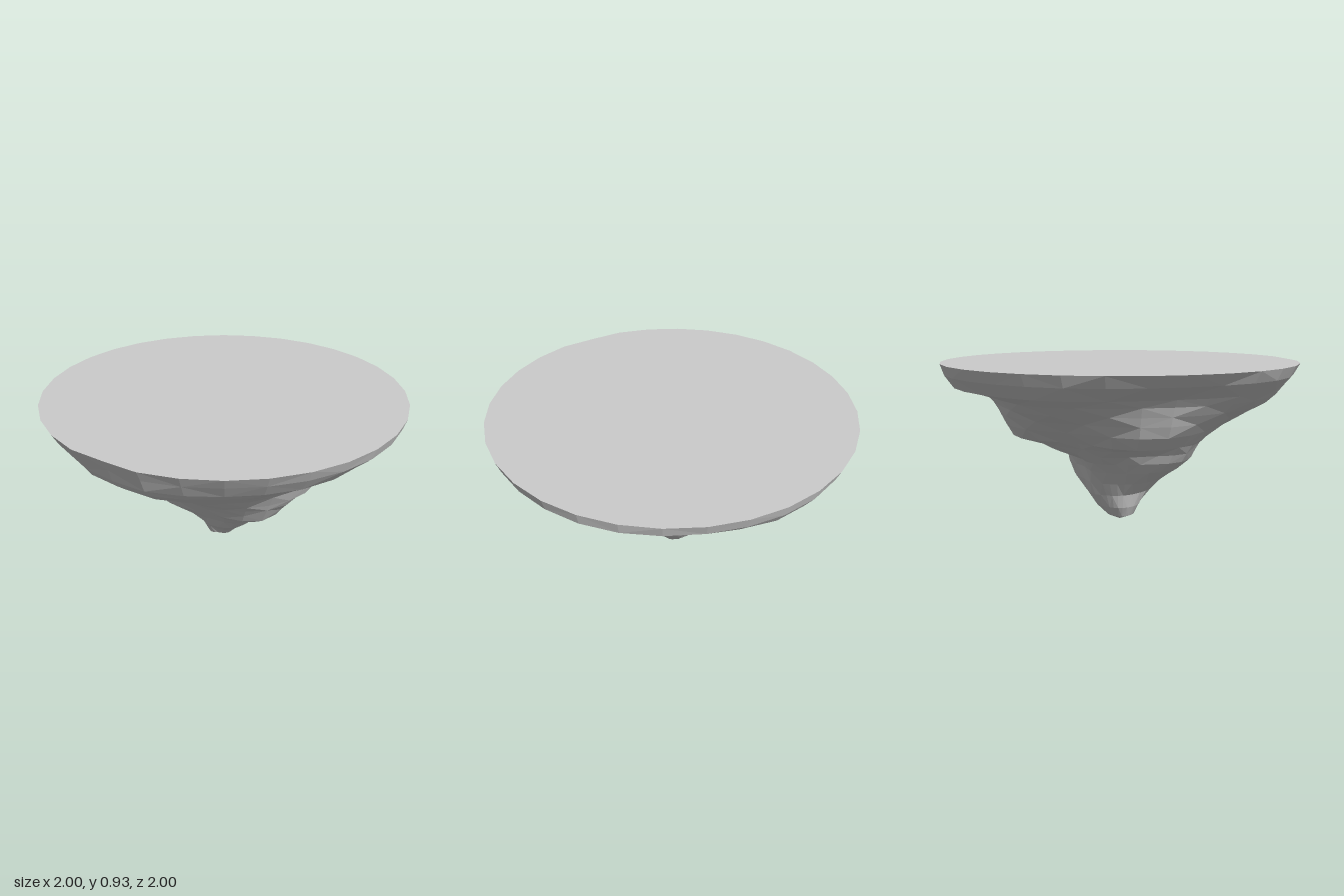
import * as THREE from 'three';

const SIDES = 32;

// Ring heights, and the rock's radius at each: one row per direction, from +x towards +z
const heights = [0.93, 0.87, 0.8, 0.76, 0.71, 0.66, 0.6, 0.53, 0.49, 0.44, 0.39, 0.33, 0.25, 0.17, 0.09, 0.03];
const profiles = [
  [1, 0.98, 0.9, 0.86, 0.8, 0.69, 0.62, 0.57, 0.49, 0.4, 0.37, 0.35, 0.3, 0.2, 0.1, 0.05],
  [1, 0.97, 0.92, 0.86, 0.78, 0.7, 0.64, 0.6, 0.58, 0.55, 0.52, 0.43, 0.3, 0.22, 0.12, 0.06],
  [1, 0.97, 0.94, 0.91, 0.85, 0.7, 0.62, 0.54, 0.49, 0.45, 0.41, 0.32, 0.25, 0.2, 0.11, 0.06],
  [1, 0.97, 0.9, 0.86, 0.8, 0.72, 0.62, 0.53, 0.49, 0.46, 0.43, 0.36, 0.24, 0.15, 0.12, 0.09],
  [1, 0.94, 0.83, 0.8, 0.78, 0.76, 0.73, 0.66, 0.46, 0.38, 0.35, 0.3, 0.22, 0.15, 0.13, 0.1],
  [1, 0.97, 0.9, 0.83, 0.76, 0.68, 0.6, 0.5, 0.45, 0.39, 0.33, 0.28, 0.22, 0.17, 0.13, 0.09],
  [1, 0.98, 0.93, 0.75, 0.71, 0.69, 0.66, 0.62, 0.49, 0.4, 0.26, 0.23, 0.215, 0.19, 0.14, 0.08],
  [1, 0.98, 0.87, 0.8, 0.72, 0.68, 0.65, 0.58, 0.52, 0.42, 0.34, 0.32, 0.28, 0.21, 0.13, 0.07],
];

// Blend between neighbouring directions, with small lumps in between
function ringPoint(i, j) {
  const y = heights[j], f = (i * 8) / SIDES, k = Math.floor(f);
  const a = (i / SIDES) * Math.PI * 2;
  const t = THREE.MathUtils.smoothstep(f - k, 0, 1);
  const blended = THREE.MathUtils.lerp(profiles[k][j], profiles[(k + 1) % 8][j], t);
  const fade = Math.min(1, (0.93 - y) * 6, y * 2);
  const lumps = 0.02 * fade * Math.sin(4 * a) * Math.sin(14 * y + 2 * a);
  // Slight chip in the front rim
  const chip = i === 9 ? 0.985 : 1;
  const r = (blended + lumps) * chip;
  return new THREE.Vector3(r * Math.cos(a), y, r * Math.sin(a));
}

function rockGeometry() {
  const pos = [], index = [], last = heights.length - 1;
  for (let j = 0; j <= last; j++) {
    for (let i = 0; i < SIDES; i++) pos.push(...ringPoint(i, j).toArray());
  }
  const tip = pos.length / 3;
  pos.push(-0.03, 0, -0.01);
  for (let j = 0; j <= last; j++) {
    for (let i = 0; i < SIDES; i++) {
      const a = j * SIDES + i, b = j * SIDES + (i + 1) % SIDES;
      if (j === last) index.push(a, b, tip);
      // Alternate the diagonals for an irregular, chiselled look
      else if ((i + j) % 2) index.push(a, b, a + SIDES, b, b + SIDES, a + SIDES);
      else index.push(a, b, b + SIDES, a, b + SIDES, a + SIDES);
    }
  }
  const g = new THREE.BufferGeometry();
  g.setAttribute('position', new THREE.Float32BufferAttribute(pos, 3));
  g.setIndex(index);
  g.computeVertexNormals();
  return g;
}

export function createModel() {
  const group = new THREE.Group();
  group.name = 'floatingIsland';
  const material = new THREE.MeshStandardMaterial({ color: 0xcccccc, flatShading: true });

  // Ledged rock tapering to a blunt tip
  const rock = new THREE.Mesh(rockGeometry(), material);
  rock.name = 'rockUnderside';
  group.add(rock);

  // Flat ground sharing the rock's rim
  const rim = [];
  for (let i = 0; i < SIDES; i++) {
    const p = ringPoint(i, 0);
    rim.push(new THREE.Vector2(p.x, -p.z));
  }
  const groundGeometry = new THREE.ShapeGeometry(new THREE.Shape(rim));
  groundGeometry.rotateX(-Math.PI / 2).translate(0, heights[0], 0);
  const ground = new THREE.Mesh(groundGeometry, material);
  ground.name = 'flatTop';
  group.add(ground);

  return group;
}
